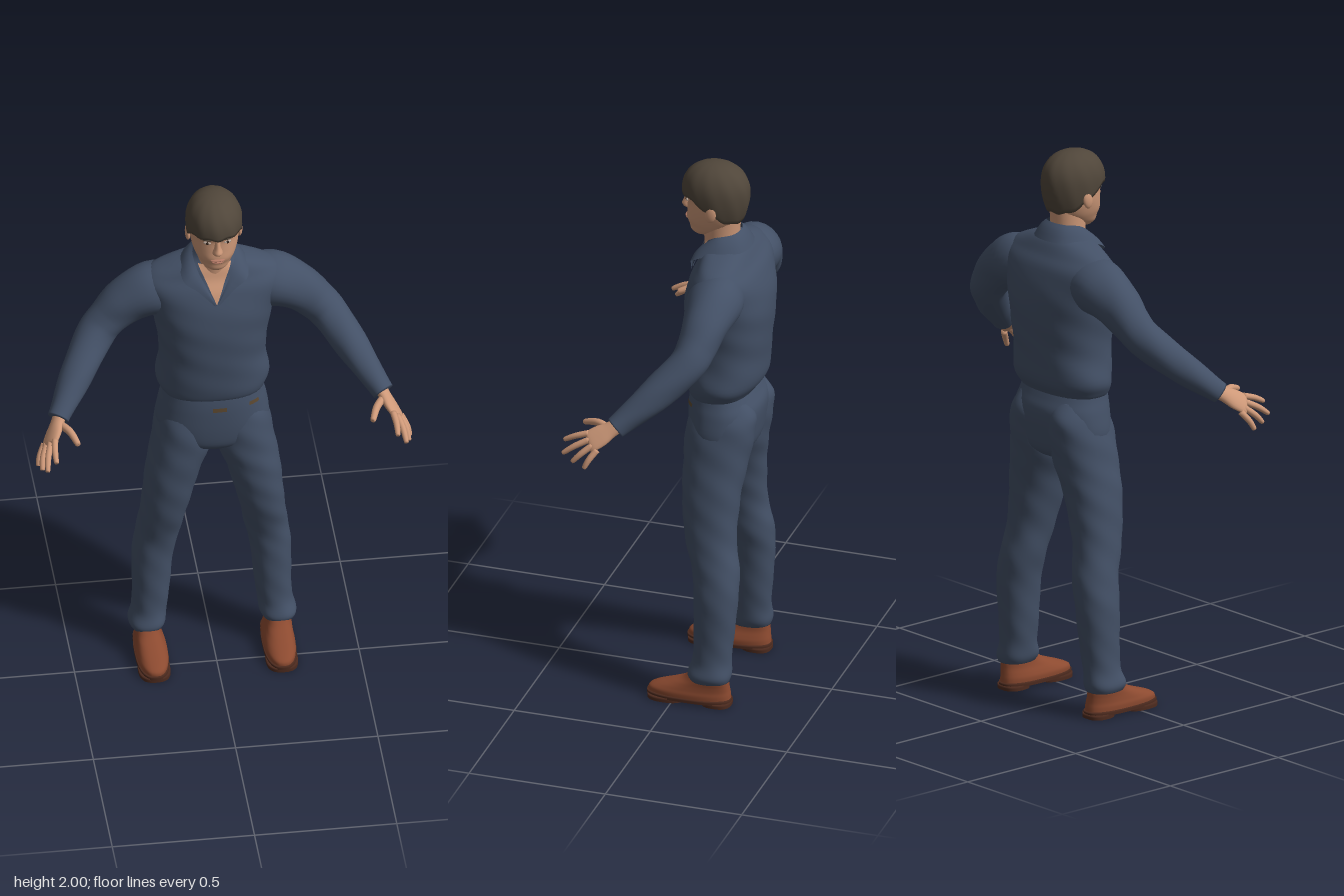
import * as THREE from 'three';
import { mergeVertices } from 'three/addons/utils/BufferGeometryUtils.js';

const V = (x, y, z) => new THREE.Vector3(x, y, z);

// Smooth surface from a point rule; u runs round or across, v runs along
function grid(nu, nv, fn) {
  const pos = [], idx = [];
  for (let j = 0; j <= nv; j++)
    for (let i = 0; i <= nu; i++) pos.push(...fn(i / nu, j / nv, j).toArray());
  for (let j = 0; j < nv; j++)
    for (let i = 0; i < nu; i++) {
      const a = j * (nu + 1) + i, d = a + nu + 1;
      idx.push(a, a + 1, d, a + 1, d + 1, d);
    }
  let g = new THREE.BufferGeometry();
  g.setAttribute('position', new THREE.Float32BufferAttribute(pos, 3));
  g.setIndex(idx);
  g = mergeVertices(g, 1e-5);
  g.computeVertexNormals();
  return g;
}

// Catmull-Rom blend of section rows [x, y, z, a, b]
function sample(rows, t) {
  const last = rows.length - 1, i = Math.min(Math.floor(t), last - 1), f = t - i;
  const [p, q, r, s] = [-1, 0, 1, 2].map(k => rows[Math.min(last, Math.max(0, i + k))]);
  return q.map((_, k) => q[k] + 0.5 * f * (r[k] - p[k] + f * (2 * p[k] - 5 * q[k] + 4 * r[k] - s[k]
    + f * (3 * (q[k] - r[k]) + s[k] - p[k]))));
}

// Closed loft; with no ref the sections stay level, otherwise they follow the path
function loft(rows, { ref = null, n = 2, segs = 28, sub = 5, fold = 0 } = {}) {
  const last = rows.length - 1, steps = last * sub;
  const pw = s => Math.sign(s) * Math.abs(s) ** (2 / n);
  return grid(segs, steps + 2, (u, _, j) => {
    const t = Math.min(steps, Math.max(0, j - 1)) / sub;
    const [x, y, z, a, b] = sample(rows, t);
    const c = V(x, y, z);
    if (j === 0 || j === steps + 2) return c;
    let T = V(0, 1, 0), B = V(0, 0, -1);
    if (ref) {
      const p = sample(rows, Math.min(last, t + 0.05)), q = sample(rows, Math.max(0, t - 0.05));
      T = V(p[0] - q[0], p[1] - q[1], p[2] - q[2]).normalize();
      B = ref.clone().addScaledVector(T, -ref.dot(T)).normalize();
    }
    const A = B.clone().cross(T), th = (u % 1) * Math.PI * 2;
    const k = 1 + fold * Math.sin(3 * th + y * 34) * Math.sin(y * 21 + th);
    return c.addScaledVector(A, a * k * pw(Math.cos(th))).addScaledVector(B, b * k * pw(Math.sin(th)));
  });
}

// Level sections given as [y, x, halfWidth, zBack, zFront], lowest first
const stack = (rows, s = 1) => rows.map(([y, x, w, b, f]) => [x * s, y, (b + f) / 2, w, (f - b) / 2]);

// Front surface of a level loft at x, y
function frontZ(rows, x, y, n) {
  let lo = 0, hi = rows.length - 1;
  for (let i = 0; i < 30; i++) {
    const m = (lo + hi) / 2;
    if (sample(rows, m)[1] < y) lo = m; else hi = m;
  }
  const r = sample(rows, lo);
  return r[2] + r[4] * Math.max(0, 1 - Math.abs(x / r[3]) ** n) ** (1 / n);
}

export function createModel() {
  const model = new THREE.Group();
  const mat = (name, color, side = THREE.FrontSide) => {
    const m = new THREE.MeshStandardMaterial({ color, side });
    m.name = name;
    return m;
  };
  const cloth = mat('navy cloth', 0x435066, THREE.DoubleSide);
  const skin = mat('skin', 0xcd9878);
  const hair = mat('brown hair', 0x50463a);
  const leather = mat('shoe leather', 0x8c4a30);
  const soleMat = mat('dark sole', 0x4c2a1e);
  const lipMat = mat('lips', 0xb47a66);
  const eyeMat = mat('eye white', 0xb8a89c);
  const irisMat = mat('iris', 0x35271f);
  const patchMat = mat('belt patch', 0x5c4830);
  const add = (name, geo, m) => {
    const mesh = new THREE.Mesh(geo, m);
    mesh.name = name;
    model.add(mesh);
    return mesh;
  };
  const ball = (name, m, p, size) => {
    const b = add(name, new THREE.SphereGeometry(1, 16, 12), m);
    b.position.set(...p);
    b.scale.set(...size);
    return b;
  };

  // Shirt
  const shirt = stack([
    [1.135, 0, 0.172, -0.215, -0.005], [1.155, 0, 0.186, -0.23, 0.005], [1.2, 0, 0.2, -0.255, 0.012],
    [1.3, 0, 0.187, -0.265, 0.02], [1.4, 0, 0.196, -0.276, 0.025], [1.5, 0, 0.215, -0.278, 0.02],
    [1.6, 0, 0.25, -0.252, -0.008], [1.65, 0, 0.225, -0.22, -0.035], [1.685, 0, 0.155, -0.2, -0.045],
    [1.71, 0, 0.085, -0.18, -0.052], [1.735, 0, 0.06, -0.165, -0.06]]);
  add('shirt', loft(shirt, { n: 2.25, segs: 48, fold: 0.012 }), cloth);

  // Open neckline
  add('neckline', grid(12, 16, (u, v) => {
    const y = 1.572 + 0.14 * v, x = (u - 0.5) * 0.84 * (y - 1.572);
    return V(x, y, frontZ(shirt, x, y, 2.25) + 0.006);
  }), skin);

  // Collar, ruled between its inner and outer edges
  const edge = half => new THREE.CatmullRomCurve3([
    ...half.slice(1).reverse().map(([x, y, z]) => V(-x, y, z)), ...half.map(p => V(...p))]);
  const inner = edge([[0, 1.752, -0.168], [0.05, 1.75, -0.152], [0.073, 1.74, -0.1],
    [0.062, 1.695, -0.04], [0.034, 1.64, -0.012], [0.003, 1.575, 0.01]]);
  const outer = edge([[0, 1.695, -0.208], [0.075, 1.695, -0.188], [0.113, 1.698, -0.12],
    [0.112, 1.66, -0.025], [0.066, 1.63, -0.004], [0.006, 1.57, 0.012]]);
  add('collar', grid(48, 4, (u, v) => {
    const p = outer.getPoint(u).lerp(inner.getPoint(u), v);
    p.y += 0.008 * Math.sin(v * Math.PI);
    return p;
  }), cloth);

  // Hips
  const hips = stack([
    [0.91, 0, 0.1, -0.2, -0.03], [0.94, 0, 0.17, -0.228, -0.005], [1.0, 0, 0.198, -0.242, 0.004],
    [1.08, 0, 0.19, -0.25, 0.006], [1.13, 0, 0.178, -0.232, 0.003], [1.18, 0, 0.17, -0.21, -0.005]]);
  add('trouserHips', loft(hips, { n: 2.3, segs: 40 }), cloth);

  // Belt patches
  for (const [cx, cy, w, h] of [[0.01, 1.108, 0.05, 0.016], [0.135, 1.112, 0.035, 0.014]])
    add('beltPatch', grid(6, 2, (u, v) => {
      const x = cx + (u - 0.5) * w, y = cy + (v - 0.5) * h;
      return V(x, y, frontZ(hips, x, y, 2.3) + 0.004);
    }), patchMat);

  for (const s of [1, -1]) {
    const side = s > 0 ? 'left' : 'right';

    // Trouser leg
    add(side + 'TrouserLeg', loft(stack([
      [0.095, 0.232, 0.056, -0.2, -0.06], [0.12, 0.23, 0.066, -0.206, -0.05], [0.17, 0.221, 0.062, -0.202, -0.066],
      [0.25, 0.214, 0.066, -0.208, -0.068], [0.4, 0.207, 0.072, -0.222, -0.064], [0.5, 0.19, 0.076, -0.222, -0.055],
      [0.6, 0.175, 0.079, -0.204, -0.028], [0.7, 0.158, 0.088, -0.204, -0.012], [0.8, 0.14, 0.096, -0.212, -0.003],
      [0.9, 0.113, 0.104, -0.23, 0.002], [1.0, 0.102, 0.098, -0.248, 0.0], [1.07, 0.098, 0.085, -0.25, -0.02],
      [1.13, 0.09, 0.06, -0.215, -0.06]], s), { n: 2.15, segs: 32, fold: 0.022 }), cloth);

    // Shoe upper, sole and heel
    add(side + 'Shoe', loft(stack([
      [0.02, 0.224, 0.055, -0.203, 0.097], [0.04, 0.224, 0.056, -0.202, 0.094], [0.056, 0.225, 0.052, -0.2, 0.065],
      [0.075, 0.228, 0.047, -0.198, 0.012], [0.095, 0.23, 0.045, -0.196, -0.035], [0.13, 0.231, 0.043, -0.19, -0.07]],
      s), { n: 2.4, segs: 32 }), leather);
    const slab = (name, y0, y1, z0, z1, w) => add(side + name, loft(stack([
      [y0, 0.224, w, z0, z1], [y0 + 0.001, 0.224, w, z0, z1], [y1, 0.224, w, z0, z1]], s), { n: 2.6, sub: 2 }), soleMat);
    slab('Sole', 0.012, 0.026, -0.206, 0.101, 0.058);
    slab('SoleFront', 0, 0.016, -0.04, 0.098, 0.056);
    slab('Heel', 0, 0.016, -0.206, -0.1, 0.05);

    // Sleeve
    add(side + 'Sleeve', loft([
      [0.13 * s, 1.56, -0.14, 0.085, 0.085], [0.21 * s, 1.56, -0.14, 0.098, 0.098], [0.3 * s, 1.518, -0.135, 0.083, 0.083],
      [0.365 * s, 1.46, -0.125, 0.07, 0.07], [0.415 * s, 1.405, -0.1, 0.066, 0.066], [0.49 * s, 1.31, -0.008, 0.058, 0.058],
      [0.55 * s, 1.235, 0.075, 0.043, 0.043], [0.572 * s, 1.208, 0.105, 0.039, 0.039]],
      { ref: V(0, 0, 1), fold: 0.035 }), cloth);

    // Hand
    const across = V(0.035 * s, -0.04, -0.05);
    add(side + 'Palm', loft([
      [0.56 * s, 1.222, 0.09, 0.022, 0.028], [0.577 * s, 1.2, 0.122, 0.02, 0.03], [0.593 * s, 1.181, 0.152, 0.018, 0.039],
      [0.61 * s, 1.163, 0.182, 0.013, 0.04], [0.613 * s, 1.159, 0.19, 0.007, 0.034]], { ref: across, segs: 20 }), skin);
    const fingers = {
      Index: [[0.594, 1.184, 0.195], [0.6, 1.17, 0.24], [0.6, 1.15, 0.28]],
      Middle: [[0.608, 1.167, 0.188], [0.623, 1.142, 0.236], [0.63, 1.113, 0.276]],
      Ring: [[0.62, 1.152, 0.174], [0.638, 1.122, 0.21], [0.644, 1.092, 0.238]],
      Little: [[0.626, 1.14, 0.155], [0.645, 1.108, 0.178], [0.653, 1.078, 0.193]],
      Thumb: [[0.567, 1.2, 0.13], [0.538, 1.202, 0.182], [0.519, 1.187, 0.232]],
    };
    for (const [name, [a, m, b]] of Object.entries(fingers)) {
      const r = name === 'Thumb' ? 0.014 : 0.0115;
      const tip = b.map((c, k) => c + (c - m[k]) * 0.06);
      add(side + name + 'Finger', loft([[...a, r, r], [...m, r * 0.95, r * 0.95], [...b, r * 0.72, r * 0.72],
        [...tip, 0.003, 0.003]].map(([x, ...rest]) => [x * s, ...rest]),
        { ref: V(1, 0.2, 0), segs: 12, sub: 4 }), skin);
    }

    // Ear, eye and brow
    ball(side + 'Ear', skin, [0.091 * s, 1.838, -0.085], [0.01, 0.032, 0.02]).rotation.x = -0.2;
    ball(side + 'Eye', eyeMat, [0.036 * s, 1.859, 0.017], [0.014, 0.0055, 0.006]).rotation.y = 0.35 * s;
    ball(side + 'Iris', irisMat, [0.035 * s, 1.859, 0.0205], [0.0058, 0.0055, 0.004]);
    const brow = ball(side + 'Brow', hair, [0.037 * s, 1.875, 0.02], [0.02, 0.0045, 0.006]);
    brow.rotation.set(0, 0.38 * s, -0.06 * s);
  }

  // Neck and head
  add('neck', loft(stack([[1.58, 0, 0.062, -0.17, -0.04], [1.66, 0, 0.06, -0.162, -0.038],
    [1.72, 0, 0.058, -0.16, -0.034], [1.82, 0, 0.06, -0.168, -0.03]])), skin);
  add('head', loft(stack([
    [1.722, 0, 0.026, -0.06, 0.0], [1.738, 0, 0.046, -0.095, 0.014], [1.76, 0, 0.061, -0.13, 0.018],
    [1.785, 0, 0.073, -0.155, 0.027], [1.82, 0, 0.083, -0.17, 0.025], [1.86, 0, 0.088, -0.18, 0.024],
    [1.89, 0, 0.09, -0.185, 0.032], [1.93, 0, 0.08, -0.17, 0.015], [1.965, 0, 0.045, -0.125, -0.03]]),
    { n: 2.15, segs: 36 }), skin);
  add('nose', loft(stack([[1.808, 0, 0.01, 0, 0.03], [1.815, 0, 0.018, 0, 0.043], [1.825, 0, 0.017, 0, 0.049],
    [1.845, 0, 0.011, 0, 0.041], [1.88, 0, 0.009, 0, 0.032]]), { segs: 16 }), skin);
  ball('upperLip', lipMat, [0, 1.785, 0.025], [0.026, 0.005, 0.009]);
  ball('lowerLip', lipMat, [0, 1.776, 0.023], [0.021, 0.0055, 0.01]);

  // Hair cap: low at the nape, high over the forehead
  add('hair', grid(48, 20, (u, _, j) => {
    const th = (u % 1) * Math.PI * 2, f = (1 - Math.sin(th)) / 2;
    const yb = 1.79 + 0.095 * THREE.MathUtils.smoothstep(f, 0.05, 0.9) + 0.004 * Math.sin(9 * th);
    const y = yb + (2 - yb) * Math.sin(Math.max(0, j - 1) / 19 * Math.PI / 2);
    let k = y > 1.89 ? Math.max(0, 1 - ((y - 1.89) / 0.11) ** 2.2) ** (1 / 2.2) : 1 - 18 * (1.89 - y) ** 2;
    k *= 1 + 0.008 * Math.sin(11 * th + y * 30);
    if (j === 0) k *= 0.82;
    return V(0.099 * k * Math.cos(th), y, -0.075 - 0.122 * k * Math.sin(th));
  }), hair);

  return model;
}
